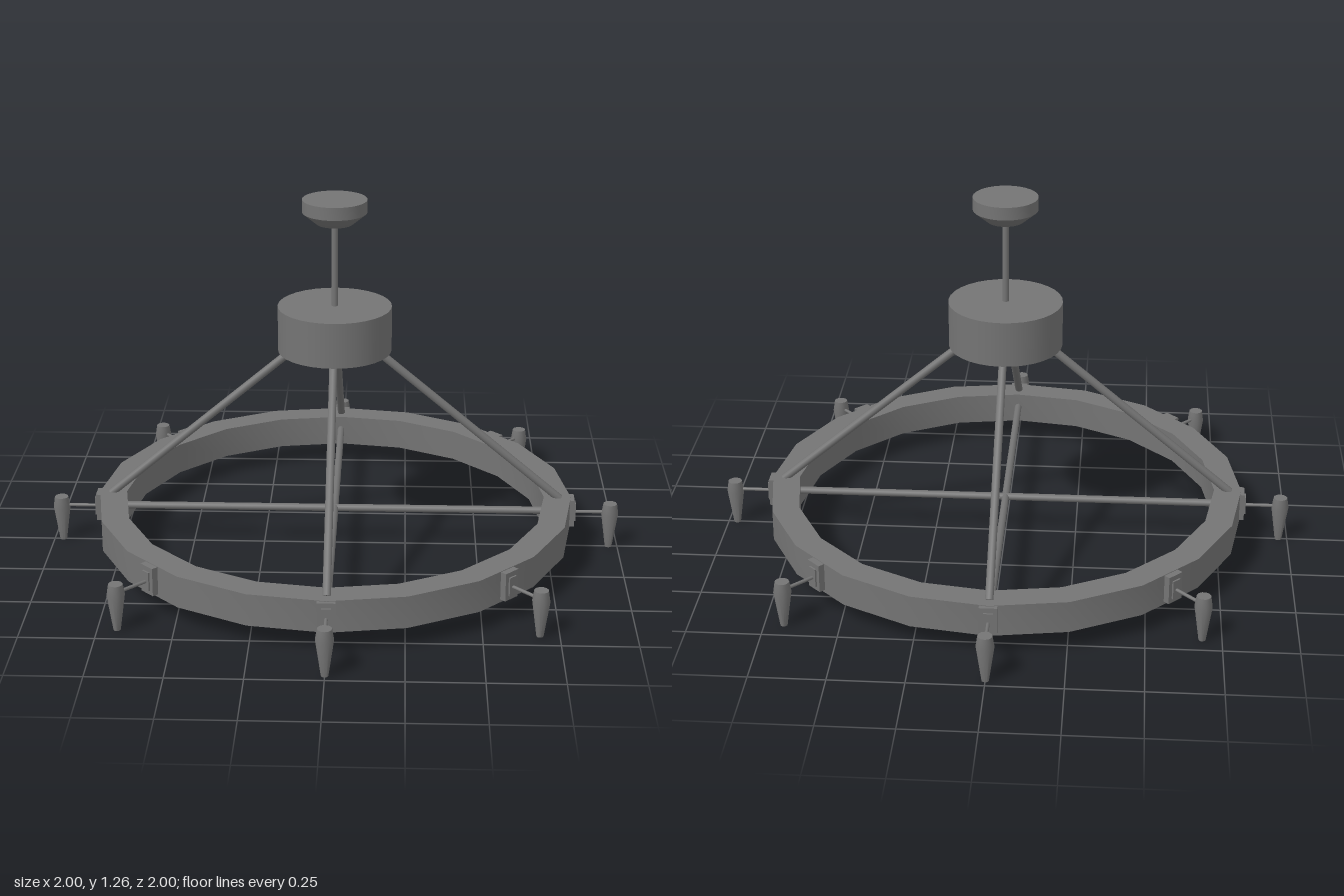
import * as THREE from 'three';
import { toCreasedNormals } from 'three/addons/utils/BufferGeometryUtils.js';

const material = new THREE.MeshStandardMaterial({ color: 0x747474 });

function add(parent, name, geometry) {
  const mesh = new THREE.Mesh(geometry, material);
  mesh.name = name;
  parent.add(mesh);
  return mesh;
}

// Round bar between two points
function addRod(parent, name, from, to, radius, sides = 10) {
  const a = new THREE.Vector3(...from);
  const b = new THREE.Vector3(...to);
  const dir = b.clone().sub(a);
  const rod = add(parent, name, new THREE.CylinderGeometry(radius, radius, dir.length(), sides));
  rod.position.copy(a).add(b).multiplyScalar(0.5);
  rod.quaternion.setFromUnitVectors(new THREE.Vector3(0, 1, 0), dir.normalize());
}

// Turned shape, smooth around and sharp at the profile's corners
function lathe(points, sides) {
  const profile = points.map(([r, y]) => new THREE.Vector2(r, y));
  return toCreasedNormals(new THREE.LatheGeometry(profile, sides), 0.7);
}

// Hanging lamp with its wall plate, pointing along +z
function createLamp() {
  const lamp = new THREE.Group();
  lamp.name = 'lamp';
  add(lamp, 'lampPlate', new THREE.BoxGeometry(0.06, 0.098, 0.03)).position.set(0, 0.136, 0.827);
  add(lamp, 'lampBoss', new THREE.BoxGeometry(0.032, 0.065, 0.01)).position.set(0, 0.135, 0.843);
  addRod(lamp, 'lampArm', [0, 0.132, 0.84], [0, 0.132, 0.965], 0.006, 8);
  const shade = lathe([[0, 0], [0.012, 0], [0.03, 0.126], [0.024, 0.164], [0, 0.164]], 12);
  add(lamp, 'lampShade', shade).position.z = 0.969;
  return lamp;
}

export function createModel() {
  const group = new THREE.Group();
  group.name = 'chandelier';

  // Ceiling canopy, stem and hub
  const canopy = lathe([[0, 1.178], [0.062, 1.178], [0.11, 1.218], [0.11, 1.262], [0, 1.262]], 32);
  add(group, 'canopy', canopy);
  addRod(group, 'stem', [0, 0.88, 0], [0, 1.19, 0], 0.011, 12);
  add(group, 'hub', new THREE.CylinderGeometry(0.195, 0.195, 0.158, 32)).position.y = 0.809;

  // Twenty-sided ring
  const ring = lathe([[0.735, 0.076], [0.83, 0.076], [0.83, 0.187], [0.735, 0.187], [0.735, 0.076]], 20);
  add(group, 'ring', ring);

  // Four sloping struts from hub to ring
  for (let i = 0; i < 4; i++) {
    const x = Math.round(Math.cos(i * Math.PI / 2));
    const z = Math.round(Math.sin(i * Math.PI / 2));
    addRod(group, 'strut', [0.14 * x, 0.73, 0.14 * z], [0.79 * x, 0.182, 0.79 * z], 0.014);
  }

  // Crossing bars inside the ring
  addRod(group, 'crossBar', [-0.77, 0.135, 0], [0.77, 0.135, 0], 0.013);
  addRod(group, 'crossBar', [0, 0.135, -0.77], [0, 0.135, 0.77], 0.013);

  // Eight lamps around the ring
  for (let i = 0; i < 8; i++) {
    const lamp = createLamp();
    lamp.rotation.y = i * Math.PI / 4;
    group.add(lamp);
  }

  return group;
}
